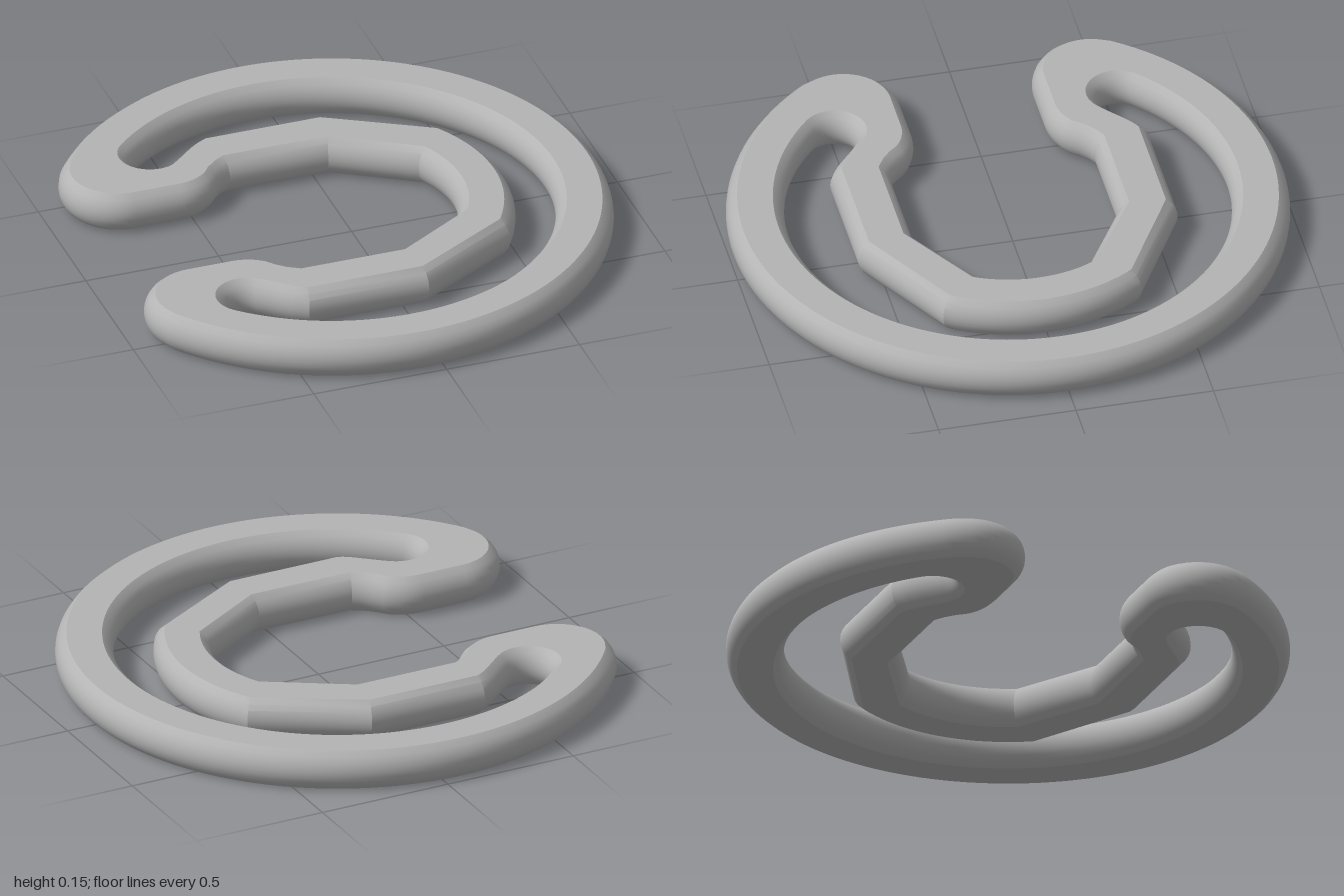
import * as THREE from 'three';
import { mergeGeometries, toCreasedNormals } from 'three/addons/utils/BufferGeometryUtils.js';

const HEIGHT = 0.15, BULGE = 0.09, CX = -0.075, LAYERS = 8;

// Points [x, z] on an arc, angles in degrees
function arc(cx, cz, r, from, to, n) {
  return Array.from({ length: n + 1 }, (_, i) => {
    const a = THREE.MathUtils.degToRad(from + (to - from) * i / n);
    return [cx + r * Math.cos(a), cz + r * Math.sin(a)];
  });
}

// Closes a half path (z >= 0) with its mirror image
const mirrored = half => [...half, ...half.slice(1, -1).reverse().map(([x, z]) => [x, -z])];

// Moves a closed loop to its left by d, with mitred corners
function inset(loop, d) {
  const n = loop.length;
  return loop.map(([x, z], i) => {
    const p = loop[(i + n - 1) % n], q = loop[(i + 1) % n];
    const a = new THREE.Vector2(p[1] - z, x - p[0]).normalize();
    const b = new THREE.Vector2(z - q[1], q[0] - x).normalize();
    const k = d / (1 + a.dot(b));
    return new THREE.Vector2(x + (a.x + b.x) * k, z + (a.y + b.y) * k);
  });
}

// Distance the bulging side steps in at height y
const stepIn = y => BULGE - Math.sqrt(BULGE ** 2 - (y - HEIGHT / 2) ** 2);

// Bulging wall that follows a closed loop
function wall(loop) {
  const pos = [], n = loop.length;
  const rings = Array.from({ length: LAYERS + 1 }, (_, j) => {
    const y = HEIGHT * j / LAYERS;
    return inset(loop, stepIn(y)).map(p => [p.x, y, p.y]);
  });
  for (let j = 0; j < LAYERS; j++) {
    for (let i = 0; i < n; i++) {
      const k = (i + 1) % n;
      const a = rings[j][i], b = rings[j + 1][i], c = rings[j + 1][k], d = rings[j][k];
      pos.push(...a, ...b, ...c, ...a, ...c, ...d);
    }
  }
  const g = new THREE.BufferGeometry();
  g.setAttribute('position', new THREE.Float32BufferAttribute(pos, 3));
  return g;
}

// Flat face; the outline is symmetric in z, so either turn fits
function cap(outer, hole, top) {
  const shape = new THREE.Shape(inset(outer, stepIn(0)));
  shape.holes.push(new THREE.Path(inset(hole, stepIn(0))));
  const g = new THREE.ShapeGeometry(shape).toNonIndexed();
  g.deleteAttribute('uv');
  g.deleteAttribute('normal');
  return g.rotateX(top ? -Math.PI / 2 : Math.PI / 2).translate(0, top ? HEIGHT : 0, 0);
}

export function createModel() {
  const group = new THREE.Group();
  group.name = 'retainingClip';
  const steel = new THREE.MeshStandardMaterial({ color: 0xb4b4b4 });
  steel.name = 'grey steel';

  // Outer edge: big arc, rounded tip, neck and inside of the jaw
  const outer = mirrored([
    ...arc(CX, 0, 1, 0, 145, 56),
    ...arc(-0.72, 0.45, 0.21, 153, 270, 14),
    ...arc(-0.55, 0.45, 0.21, 270, 312, 6),
    [-0.385, 0.325], [-0.355, 0.352], [-0.325, 0.37],
    [0.045, 0.37],
    ...arc(CX, 0, 0.447, 26.6, 0, 8),
  ]);

  // Slot edge: inside of the big arc, tight bend, outside of the jaw
  const slot = mirrored([
    ...arc(CX, 0, 0.793, 0, 134, 50),
    ...arc(-0.575, 0.515, 0.075, 146, 308, 14),
    [-0.495, 0.483], [-0.46, 0.514], [-0.425, 0.544], [-0.395, 0.565], [-0.365, 0.58],
    [0.085, 0.58],
    ...arc(CX, 0, 0.652, 33.5, 0, 10),
  ]).reverse();

  const merged = mergeGeometries([
    wall(outer), wall(slot), cap(outer, slot, true), cap(outer, slot, false),
  ]);
  // Enlarged while finding creases so that close points stay separate
  const body = toCreasedNormals(merged.scale(100, 100, 100), 0.42).scale(0.01, 0.01, 0.01);

  const clip = new THREE.Mesh(body, steel);
  clip.name = 'clipBody';
  group.add(clip);
  return group;
}
